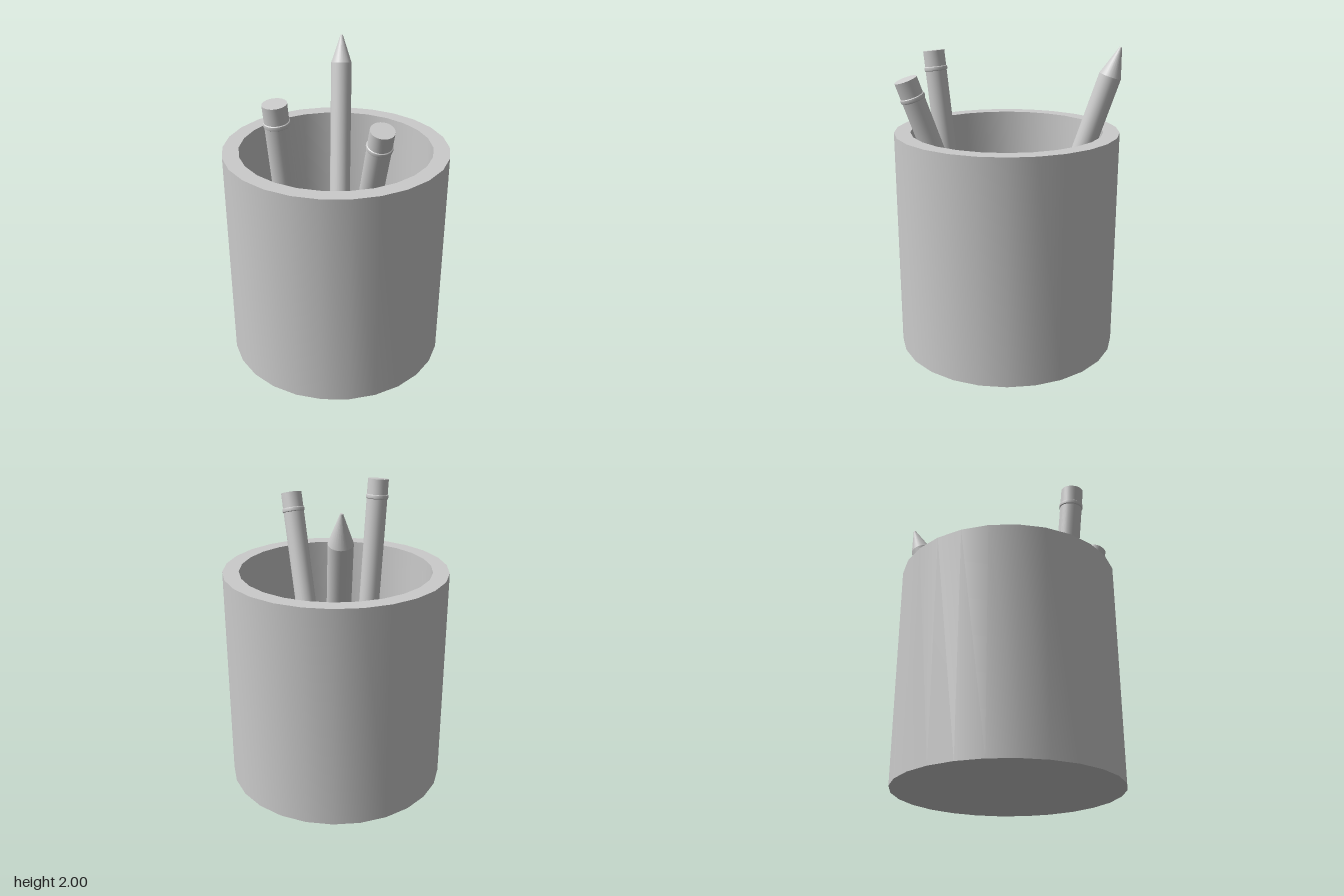
import * as THREE from 'three';
import { toCreasedNormals } from 'three/addons/utils/BufferGeometryUtils.js';

const LENGTH = 1.76, CONE = 0.19, RADIUS = 0.072;

function lathe(name, points, sides, material) {
  const profile = points.map(([r, y]) => new THREE.Vector2(r, y));
  const geometry = toCreasedNormals(new THREE.LatheGeometry(profile, sides), 0.45);
  const mesh = new THREE.Mesh(geometry, material);
  mesh.name = name;
  return mesh;
}

// Pencil along +y: flat eraser end at 0, blunt tip at LENGTH
function makePencil(name, material) {
  const pencil = new THREE.Group();
  pencil.name = name;
  const shoulder = LENGTH - CONE;
  pencil.add(
    lathe('eraser', [[0, 0], [RADIUS, 0], [RADIUS, 0.11]], 24, material),
    lathe('ferrule', [[RADIUS, 0.105], [0.077, 0.109], [0.079, 0.12], [0.077, 0.131], [RADIUS, 0.135]], 24, material),
    lathe('shaft', [[RADIUS, 0.11], [RADIUS, shoulder]], 24, material),
    lathe('point', [[RADIUS, shoulder], [0.008, LENGTH], [0, LENGTH]], 24, material),
  );
  return pencil;
}

export function createModel() {
  const model = new THREE.Group();
  model.name = 'pencilCup';
  const material = new THREE.MeshStandardMaterial({ color: 0xcccccc });

  // Hollow cup: underside, outer wall, rim, inner wall, floor
  model.add(lathe('cup', [
    [0, 0], [0.73, 0], [0.73, 1.465], [0.625, 1.465], [0.625, 0.105], [0, 0.105],
  ], 26, material));

  // Pencils: position of the eraser end and direction towards the tip
  const pencils = [
    ['tipUpPencil', [-0.075, 0.33, -0.145], [-0.3, 1.67, -0.465]],
    ['leftPencil', [0.56, 1.83, 0.36], [-0.41, -1.485, -0.32]],
    ['frontPencil', [0, 1.94, 0.6], [0, -1.56, -0.197]],
  ];
  for (const [name, end, direction] of pencils) {
    const pencil = makePencil(name, material);
    pencil.position.set(...end);
    pencil.quaternion.setFromUnitVectors(
      new THREE.Vector3(0, 1, 0), new THREE.Vector3(...direction).normalize());
    model.add(pencil);
  }
  return model;
}
